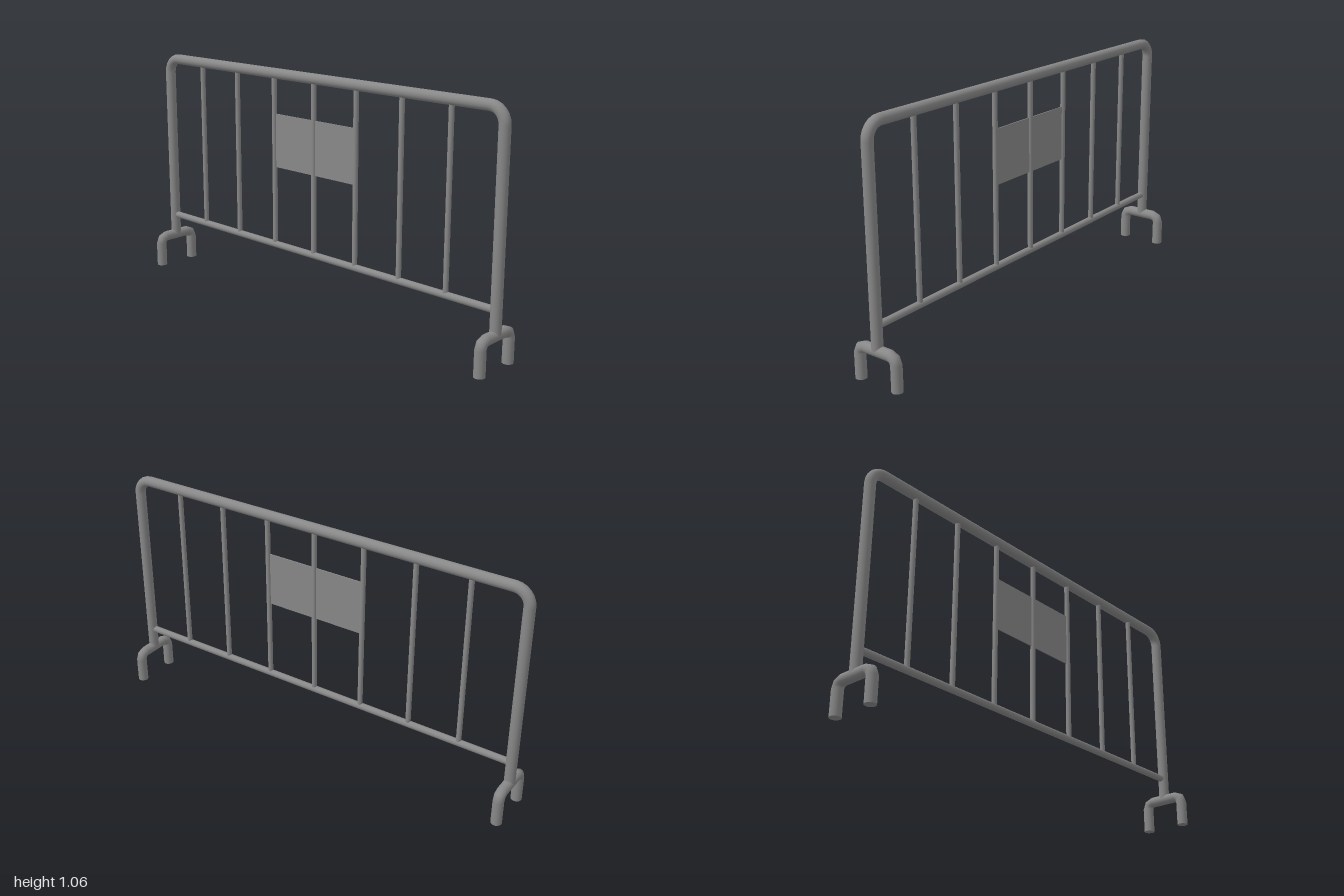
import * as THREE from 'three';

const material = new THREE.MeshStandardMaterial({ color: 0x888888 });
const PIPE = 0.0238, POST_X = 0.9762, TOP_Y = 1.037, FOOT_Y = 0.142, RAIL_Y = 0.246;

// Curve through given stations, so straight runs need no extra rings
class StationCurve extends THREE.Curve {
  constructor(stations) {
    super();
    this.stations = stations;
  }
  station(u) {
    return this.stations[Math.round(u * (this.stations.length - 1))];
  }
  getPointAt(u) { return this.station(u).point.clone(); }
  getTangentAt(u) { return this.station(u).tangent.clone(); }
}

// Inverted U of pipe in the XY plane with rounded corners and capped ends
function archPipe(name, halfWidth, bottom, top, bend, steps) {
  const stations = [];
  const add = (x, y, tx, ty) => stations.push({
    point: new THREE.Vector3(x, y, 0), tangent: new THREE.Vector3(tx, ty, 0),
  });
  add(-halfWidth, bottom, 0, 1);
  for (const side of [-1, 1]) {
    for (let i = 0; i <= steps; i++) {
      const a = (side < 0 ? Math.PI : Math.PI / 2) - (i / steps) * Math.PI / 2;
      add(side * (halfWidth - bend) + bend * Math.cos(a), top - bend + bend * Math.sin(a), Math.sin(a), -Math.cos(a));
    }
  }
  add(halfWidth, bottom, 0, -1);

  const group = new THREE.Group();
  group.name = name;
  const pipe = new THREE.Mesh(
    new THREE.TubeGeometry(new StationCurve(stations), stations.length - 1, PIPE, 20), material);
  pipe.name = name + 'Pipe';
  group.add(pipe);
  for (const side of [-1, 1]) {
    const cap = new THREE.Mesh(new THREE.CircleGeometry(PIPE, 20), material);
    cap.name = name + 'EndCap';
    cap.rotation.x = Math.PI / 2;
    cap.position.set(side * halfWidth, bottom, 0);
    group.add(cap);
  }
  return group;
}

function rod(name, radius, length) {
  const mesh = new THREE.Mesh(new THREE.CylinderGeometry(radius, radius, length, 16), material);
  mesh.name = name;
  return mesh;
}

export function createModel() {
  const barrier = new THREE.Group();
  barrier.name = 'crowdBarrier';

  // Outer frame: two posts and the top rail in one bent pipe
  barrier.add(archPipe('frame', POST_X, FOOT_Y, TOP_Y, 0.067, 6));

  // Bottom rail
  const rail = rod('bottomRail', 0.0155, 2 * POST_X);
  rail.rotation.z = Math.PI / 2;
  rail.position.y = RAIL_Y;
  barrier.add(rail);

  // Vertical bars
  for (let i = -3; i <= 3; i++) {
    const bar = rod('bar', 0.0115, TOP_Y - RAIL_Y);
    bar.position.set(i * POST_X / 4, (TOP_Y + RAIL_Y) / 2, 0);
    barrier.add(bar);
  }

  // Sign plate between the middle bars
  const plate = new THREE.Mesh(new THREE.BoxGeometry(POST_X / 2, 0.244, 0.005), material);
  plate.name = 'signPlate';
  plate.position.y = 0.734;
  barrier.add(plate);

  // Two-legged feet across the posts
  for (const side of [-1, 1]) {
    const foot = archPipe('foot', 0.0955, 0, FOOT_Y, 0.03, 2);
    foot.rotation.y = Math.PI / 2;
    foot.position.x = side * POST_X;
    barrier.add(foot);
  }
  return barrier;
}
